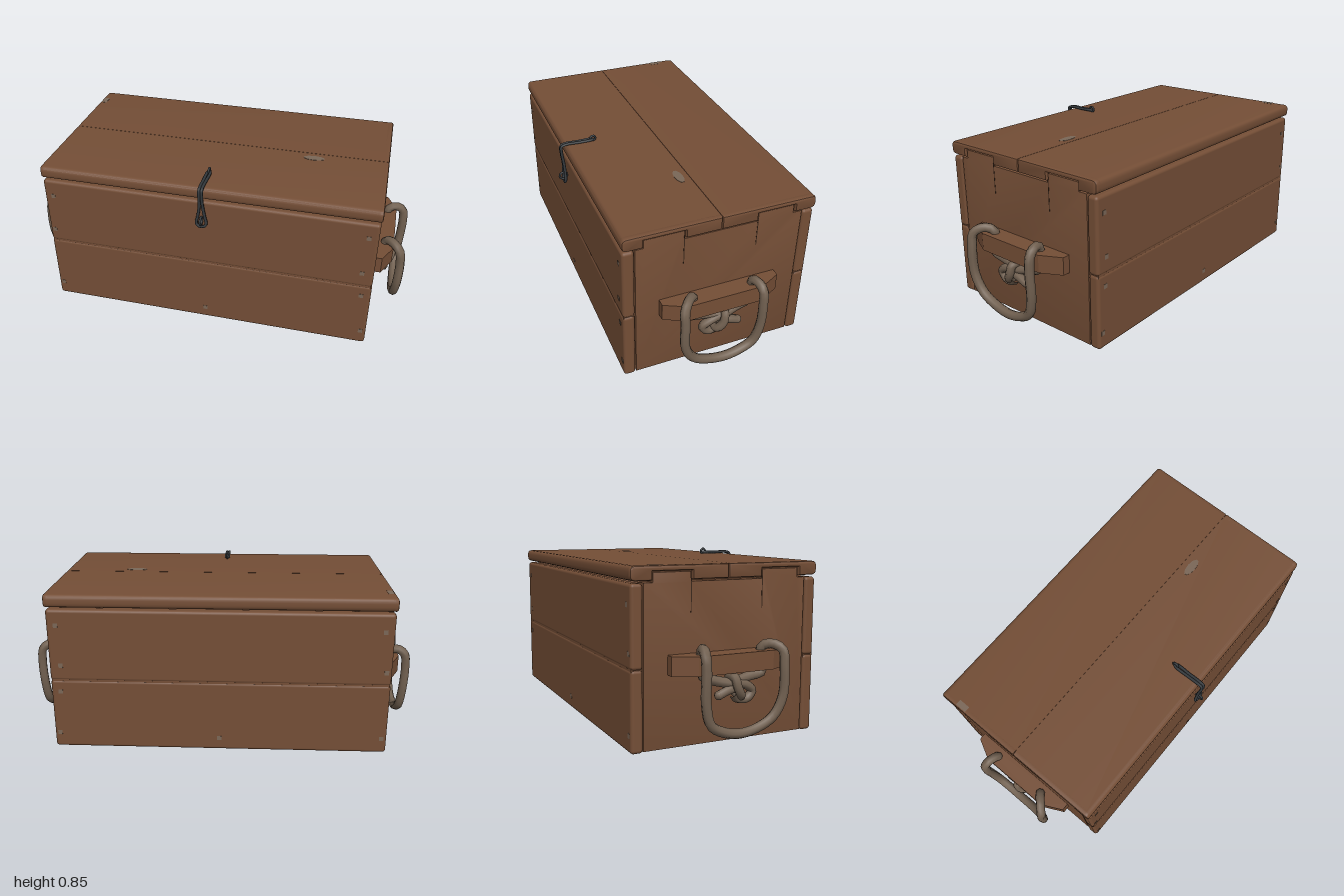
import * as THREE from 'three';
import { toCreasedNormals } from 'three/addons/utils/BufferGeometryUtils.js';
import { RoundedBoxGeometry } from 'three/addons/geometries/RoundedBoxGeometry.js';

const paint = (name, color) => {
  const m = new THREE.MeshStandardMaterial({ color });
  m.name = name;
  return m;
};

export function createModel() {
  const wood = paint('brown wood', 0x744e36);
  const groove = paint('dark groove', 0x3a271b);
  const ropeTan = paint('rope', 0x726151);
  const iron = paint('dark iron', 0x34393d);
  const worn = paint('worn grey brown', 0x7a6757);

  const chest = new THREE.Group();
  chest.name = 'chest';

  const add = (parent, name, geometry, material, x = 0, y = 0, z = 0) => {
    const mesh = new THREE.Mesh(geometry, material);
    mesh.name = name;
    mesh.position.set(x, y, z);
    parent.add(mesh);
    return mesh;
  };
  const v3 = (pts) => pts.map((p) => new THREE.Vector3(...p));
  const tube = (pts, segments, radius, sides, closed = false) =>
    new THREE.TubeGeometry(new THREE.CatmullRomCurve3(v3(pts), closed, 'centripetal'), segments, radius, sides, closed);

  // Extrudes an outline drawn in (z, y) along x, from x0 to x1
  const extrudeX = (shape, x0, x1, bevel = 0) => {
    const g = new THREE.ExtrudeGeometry(shape, {
      depth: x1 - x0 - 2 * bevel, curveSegments: 4, bevelEnabled: bevel > 0,
      bevelThickness: bevel, bevelSize: bevel, bevelOffset: -bevel, bevelSegments: 2,
    });
    g.rotateY(-Math.PI / 2);
    g.translate(x1 - bevel, 0, 0);
    return toCreasedNormals(g, 0.7);
  };

  // Front and back walls, two planks each
  for (const [side, z] of [['front', 0.421], ['back', -0.461]]) {
    add(chest, side + 'LowerPlank', new RoundedBoxGeometry(1.694, 0.371, 0.058, 3, 0.016), wood, 0, 0.1855, z);
    add(chest, side + 'UpperPlank', new RoundedBoxGeometry(1.694, 0.371, 0.058, 3, 0.016), wood, 0, 0.5545, z);
    // solid backing keeps the plank joint closed
    add(chest, side + 'Joint', new THREE.BoxGeometry(1.68, 0.04, 0.052), wood, 0, 0.37, z);
  }
  add(chest, 'floor', new THREE.BoxGeometry(1.6, 0.04, 0.82), wood, 0, 0.03, -0.02);

  // End walls with two tabs that reach up into the lid
  const endShape = new THREE.Shape([
    [0.389, 0.005], [0.389, 0.742], [0.35, 0.742], [0.35, 0.785], [0.158, 0.785], [0.158, 0.742],
    [-0.203, 0.742], [-0.203, 0.785], [-0.385, 0.785], [-0.385, 0.742], [-0.43, 0.742], [-0.43, 0.005],
  ].map((p) => new THREE.Vector2(...p)));
  for (const s of [1, -1]) {
    const [a, b] = s > 0 ? [0.78, 0.842] : [-0.842, -0.78];
    add(chest, s > 0 ? 'leftEndWall' : 'rightEndWall', extrudeX(endShape, a, b, 0.003), wood);
    for (const z of [0.159, -0.203]) {
      add(chest, 'tabCut', new THREE.BoxGeometry(0.004, 0.15, 0.004), groove, s * 0.841, 0.68, z);
    }
  }

  // Lid: two boards with notched ends
  const lidShape = (inner, outer, notch) => {
    const d = Math.sign(outer - inner), r = 0.024 * d;
    const s = new THREE.Shape();
    s.moveTo(inner, 0.75);
    if (notch) {
      s.lineTo(notch[0], 0.75);
      s.lineTo(notch[0], 0.79);
      s.lineTo(notch[1], 0.79);
      s.lineTo(notch[1], 0.75);
    }
    s.lineTo(outer - r, 0.75);
    s.quadraticCurveTo(outer, 0.75, outer, 0.774);
    s.lineTo(outer, 0.791);
    s.quadraticCurveTo(outer, 0.815, outer - r, 0.815);
    s.lineTo(inner, 0.815);
    s.closePath();
    return s;
  };
  for (const [name, inner, outer, notch] of [
    ['frontLidBoard', -0.0185, 0.451, [0.152, 0.355]],
    ['backLidBoard', -0.0205, -0.494, [-0.198, -0.39]],
  ]) {
    add(chest, name, extrudeX(lidShape(inner, outer), -0.833, 0.833), wood);
    add(chest, name + 'LeftEnd', extrudeX(lidShape(inner, outer, notch), 0.815, 0.853, 0.01), wood);
    add(chest, name + 'RightEnd', extrudeX(lidShape(inner, outer, notch), -0.853, -0.815, 0.01), wood);
  }
  add(chest, 'lidSeam', new THREE.BoxGeometry(1.66, 0.05, 0.01), wood, 0, 0.787, -0.0195);

  // Worn nail heads and scuffs
  for (const [x, y] of [[-0.8, 0.65], [0.8, 0.66], [-0.82, 0.44], [0.79, 0.45], [0.8, 0.31], [0, 0.065], [-0.82, 0.08], [0.82, 0.08]]) {
    add(chest, 'nailHead', new THREE.BoxGeometry(0.022, 0.022, 0.004), worn, x, y, 0.4495);
    add(chest, 'nailHead', new THREE.BoxGeometry(0.022, 0.022, 0.004), worn, x, y, -0.4895);
  }
  add(chest, 'lidScuff', new THREE.CylinderGeometry(1, 1, 0.003, 10), worn, 0.475, 0.815, 0.03).scale.set(0.055, 1, 0.022);
  add(chest, 'lidScuff', new THREE.BoxGeometry(0.03, 0.003, 0.06), worn, -0.83, 0.8145, -0.37);

  // Handles: a tapered cleat with a rope loop knotted underneath
  const cleatShape = new THREE.Shape([
    [0.84, 0.275], [0.88, 0.275], [0.932, 0.17], [0.932, -0.21], [0.88, -0.315], [0.84, -0.315],
  ].map(([x, z]) => new THREE.Vector2(x, -z)));
  const makeHandle = (name, turn) => {
    const h = new THREE.Group();
    h.name = name;
    const cleat = new THREE.ExtrudeGeometry(cleatShape, { depth: 0.088, bevelEnabled: false });
    cleat.rotateX(-Math.PI / 2);
    add(h, 'cleat', cleat, wood, 0, 0.337, 0);
    add(h, 'ropeLoop', tube([
      [0.9, 0.29, -0.03], [0.885, 0.305, 0.06], [0.885, 0.325, 0.14], [0.885, 0.39, 0.13], [0.892, 0.44, 0.13],
      [0.925, 0.455, 0.165], [0.962, 0.43, 0.198], [0.974, 0.36, 0.2], [0.973, 0.22, 0.195],
      [0.965, 0.13, 0.15], [0.96, 0.085, 0.07], [0.96, 0.07, -0.02], [0.96, 0.085, -0.1],
      [0.963, 0.125, -0.165], [0.97, 0.22, -0.193], [0.975, 0.36, -0.195], [0.965, 0.43, -0.195],
      [0.925, 0.455, -0.185], [0.89, 0.44, -0.175], [0.885, 0.39, -0.175], [0.885, 0.325, -0.165],
      [0.885, 0.3, -0.1], [0.9, 0.285, -0.03],
    ], 72, 0.023, 8), ropeTan);
    // knot: side loop, upright wrap and loose tail
    add(h, 'knotLoop', tube([
      [0.9, 0.29, -0.02], [0.905, 0.275, 0.04], [0.9, 0.245, 0.078], [0.9, 0.21, 0.05],
      [0.9, 0.215, 0.0], [0.915, 0.245, -0.03],
    ], 20, 0.021, 8), ropeTan);
    add(h, 'knotWrap', tube([
      [0.925, 0.315, -0.025], [0.935, 0.27, -0.015], [0.92, 0.23, 0.01], [0.885, 0.225, 0.015],
      [0.868, 0.27, -0.02], [0.885, 0.315, -0.03],
    ], 24, 0.021, 8, true), ropeTan);
    add(h, 'knotTail', tube([[0.905, 0.265, 0.0], [0.91, 0.258, -0.05], [0.912, 0.238, -0.105]], 8, 0.021, 8), ropeTan);
    add(h, 'tailEnd', new THREE.SphereGeometry(0.021, 8, 6), ropeTan, 0.912, 0.24, -0.1);
    h.rotation.y = turn;
    chest.add(h);
    return h;
  };
  makeHandle('leftHandle', 0);
  // mirrored copy: flip x and reverse the faces
  const right = makeHandle('rightHandle', 0);
  for (const mesh of right.children) {
    const g = mesh.geometry.index ? mesh.geometry.toNonIndexed() : mesh.geometry;
    for (const attr of Object.values(g.attributes)) {
      const n = attr.itemSize, arr = attr.array;
      for (let i = 0; i < arr.length; i += 3 * n) {
        for (let k = 0; k < n; k++) [arr[i + n + k], arr[i + 2 * n + k]] = [arr[i + 2 * n + k], arr[i + n + k]];
      }
      if (n === 3) for (let i = 0; i < arr.length; i += 3) arr[i] = -arr[i];
    }
    mesh.geometry = g;
    mesh.position.x *= -1;
  }

  // Latch: a bent wire hasp over the front edge, held by two staples
  const latch = new THREE.Group();
  latch.name = 'latch';
  const half = [
    [0.007, 0.824, 0.31], [0.007, 0.823, 0.38], [0.007, 0.824, 0.45], [0.007, 0.815, 0.472],
    [0.007, 0.77, 0.473], [0.009, 0.72, 0.467], [0.018, 0.66, 0.465], [0.025, 0.625, 0.467],
  ];
  const flipped = half.map(([x, y, z]) => [-x, y, z]).reverse();
  add(latch, 'hasp', tube([...half, [0.015, 0.609, 0.469], [-0.015, 0.609, 0.469], ...flipped, [0, 0.824, 0.298]], 90, 0.0075, 6, true), iron);
  const topStaple = add(latch, 'lidStaple', new THREE.TorusGeometry(0.014, 0.006, 6, 10), iron, 0, 0.829, 0.303);
  topStaple.rotation.y = Math.PI / 2;
  const frontStaple = add(latch, 'frontStaple', new THREE.TorusGeometry(0.02, 0.006, 6, 10), iron, 0, 0.641, 0.472);
  frontStaple.rotation.y = Math.PI / 2;
  latch.position.x = -0.008;
  chest.add(latch);

  return chest;
}
